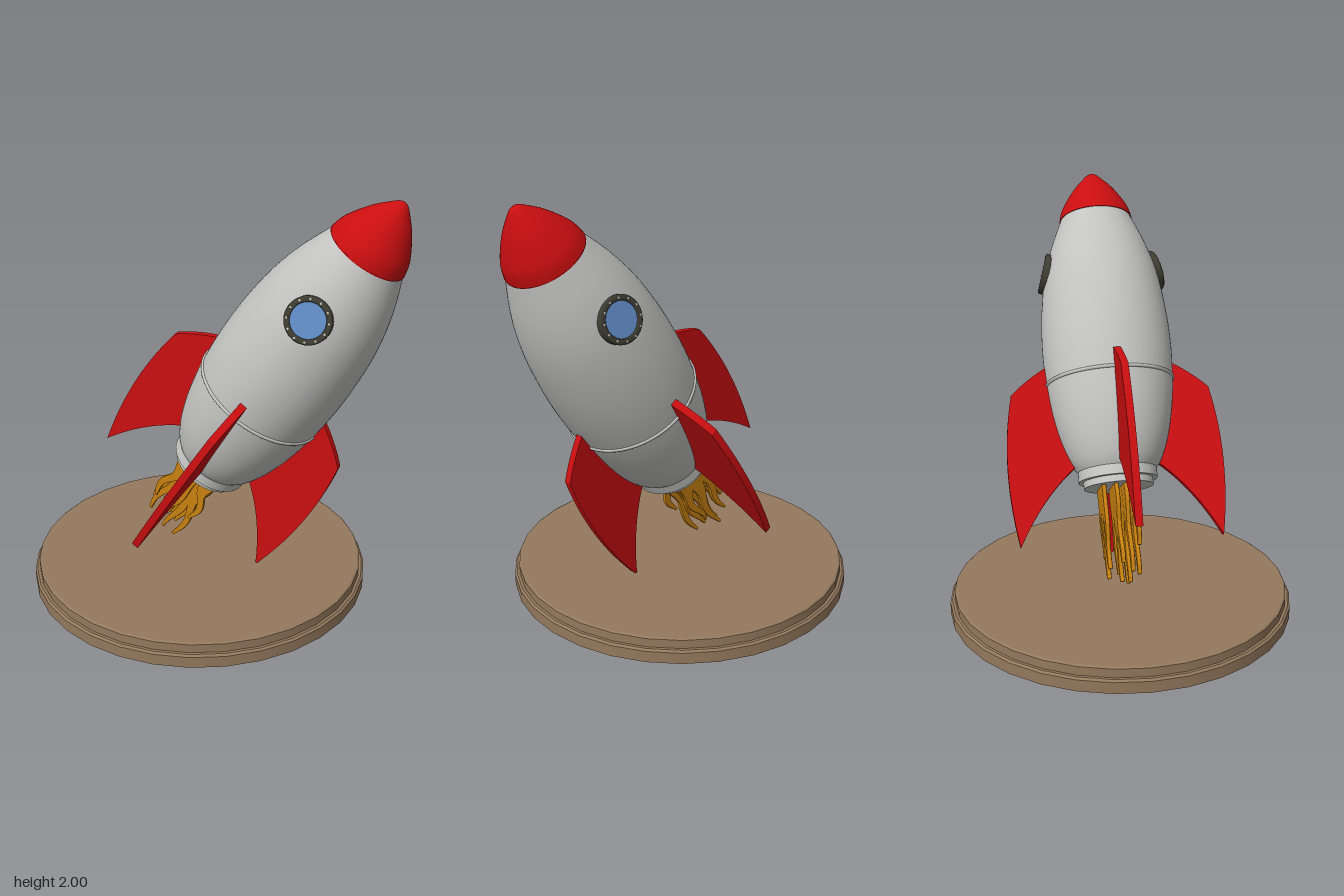
import * as THREE from 'three';

const mat = (name, color) => {
  const m = new THREE.MeshStandardMaterial({ color });
  m.name = name;
  return m;
};

const V2 = (p) => new THREE.Vector2(p[0], p[1]);

// Smooth body of revolution through a few [radius, height] points
function lathe(points, segments = 64, samples = 40) {
  const curve = new THREE.SplineCurve(points.map(V2));
  const profile = curve.getPoints(samples).map((p) => new THREE.Vector2(Math.max(p.x, 0), p.y));
  return new THREE.LatheGeometry(profile, segments);
}

// Wavy tapering tongue of fire, flat in z with rounded edges
function tongue(u0, u1, length, width, phase) {
  const left = [], right = [];
  const n = 20;
  for (let i = 0; i <= n; i++) {
    const s = i / n;
    const u = u0 + (u1 - u0) * s + 0.016 * Math.sin(phase + s * 9) * Math.min(1, s * 2);
    const w = width * Math.pow(1 - s, 0.8) * (0.8 + 0.35 * Math.sin(Math.PI * Math.min(1, s * 2))) + 0.003;
    left.push(new THREE.Vector2(u - w, -0.5 - length * s));
    right.push(new THREE.Vector2(u + w, -0.5 - length * s));
  }
  const shape = new THREE.Shape([...left, ...right.reverse()]);
  const geo = new THREE.ExtrudeGeometry(shape, {
    depth: 0.008, bevelEnabled: true, bevelThickness: 0.007, bevelSize: 0.005, bevelSegments: 2,
  });
  geo.translate(0, 0, -0.004);
  return geo;
}

export function createModel() {
  const grey = mat('hullGrey', 0xc3c3c2);
  const red = mat('red', 0xca0e10);
  const brown = mat('standBrown', 0x94795d);
  const gold = mat('flameGold', 0xc8810f);
  const blue = mat('glassBlue', 0x628dc8);
  const dark = mat('frameDark', 0x3f3e33);
  const silver = mat('boltSilver', 0xc9c9c4);

  const model = new THREE.Group();
  model.name = 'rocketOnStand';
  const add = (parent, name, geo, material) => {
    const mesh = new THREE.Mesh(geo, material);
    mesh.name = name;
    parent.add(mesh);
    return mesh;
  };

  // Two-step round stand
  const stand = new THREE.Group();
  stand.name = 'stand';
  stand.position.x = -0.07;
  model.add(stand);
  const disc = (name, rTop, rBottom, y0, y1) =>
    add(stand, name, new THREE.CylinderGeometry(rTop, rBottom, y1 - y0, 32).translate(0, (y0 + y1) / 2, 0), brown);
  disc('standLower', 0.835, 0.835, 0, 0.055);
  disc('standLowerBevel', 0.825, 0.835, 0.055, 0.064);
  disc('standUpper', 0.812, 0.812, 0.06, 0.106);
  disc('standUpperBevel', 0.803, 0.812, 0.106, 0.112);

  // Tilted rocket, its origin on the axis at the hull band
  const rocket = new THREE.Group();
  rocket.name = 'rocket';
  rocket.position.set(0.255, 1.03, 0);
  rocket.rotation.z = -THREE.MathUtils.degToRad(32.5);
  model.add(rocket);

  add(rocket, 'hull', lathe([
    [0.18, -0.46], [0.222, -0.4], [0.265, -0.29], [0.297, -0.15], [0.315, 0], [0.323, 0.17],
    [0.316, 0.35], [0.292, 0.54], [0.247, 0.71], [0.18, 0.88],
  ]), grey);
  add(rocket, 'hullBand', new THREE.TorusGeometry(0.314, 0.009, 8, 64).rotateX(Math.PI / 2), grey);
  add(rocket, 'noseCone', lathe([
    [0.187, 0.877], [0.168, 0.94], [0.11, 1.035], [0.055, 1.1], [0.025, 1.13], [0, 1.142],
  ]), red);
  add(rocket, 'noseBase', new THREE.CylinderGeometry(0.187, 0.187, 0.004, 64).translate(0, 0.877, 0), red);

  // Nozzle collar
  add(rocket, 'collar', new THREE.CylinderGeometry(0.193, 0.193, 0.05, 48).translate(0, -0.468, 0), grey);
  add(rocket, 'nozzle', new THREE.CylinderGeometry(0.17, 0.17, 0.035, 48).translate(0, -0.508, 0), grey);

  // Four swept fins
  const finShape = new THREE.Shape();
  finShape.moveTo(0.15, 0.12);
  finShape.lineTo(0.3, 0.1);
  finShape.quadraticCurveTo(0.42, 0.03, 0.495, -0.045);
  finShape.quadraticCurveTo(0.57, -0.4, 0.492, -0.79);
  finShape.quadraticCurveTo(0.37, -0.55, 0.2, -0.415);
  finShape.lineTo(0.15, -0.38);
  const finGeo = new THREE.ExtrudeGeometry(finShape, { depth: 0.035, bevelEnabled: false, curveSegments: 14 });
  finGeo.translate(0, 0, -0.0175);
  ['Left', 'Back', 'Right', 'Front'].forEach((side, i) => {
    add(rocket, 'fin' + side, finGeo, red).rotation.y = (i * Math.PI) / 2;
  });

  // Portholes on the front and back of the hull
  const frameGeo = new THREE.LatheGeometry([
    [0.078, -0.04], [0.078, 0.012], [0.082, 0.016], [0.099, 0.016], [0.104, 0.01], [0.104, -0.04],
  ].reverse().map(V2), 40).rotateX(Math.PI / 2);
  const glassGeo = new THREE.CylinderGeometry(0.08, 0.08, 0.008, 40).rotateX(Math.PI / 2);
  const boltGeo = new THREE.CylinderGeometry(0.005, 0.005, 0.006, 8).rotateX(Math.PI / 2);
  dark.side = THREE.DoubleSide;
  ['Front', 'Back'].forEach((side, k) => {
    const pivot = new THREE.Group();
    pivot.name = 'porthole' + side;
    pivot.rotation.y = k * Math.PI;
    rocket.add(pivot);
    const port = new THREE.Group();
    port.position.set(0, 0.59, 0.281);
    port.rotation.x = -0.27;
    pivot.add(port);
    add(port, 'portholeFrame', frameGeo, dark);
    add(port, 'portholeGlass', glassGeo, blue).position.z = 0.004;
    for (let i = 0; i < 12; i++) {
      const a = (i * Math.PI) / 6;
      add(port, 'bolt', boltGeo, silver).position.set(0.091 * Math.cos(a), 0.091 * Math.sin(a), 0.016);
    }
  });

  // Exhaust flames: flat layers of wavy tongues [start, end, length, width, phase]
  const flames = new THREE.Group();
  flames.name = 'flames';
  rocket.add(flames);
  const layers = [
    [-0.085, [[-0.06, -0.08, 0.42, 0.036, 0.5], [0, 0.0, 0.46, 0.036, 1.4], [0.06, 0.06, 0.36, 0.032, 2.6]]],
    [-0.028, [[-0.07, -0.12, 0.4, 0.04, 2.8], [-0.01, -0.045, 0.48, 0.036, 0.2], [0.05, 0.05, 0.44, 0.034, 1.8]]],
    [0.018, [[-0.07, -0.1, 0.44, 0.036, 3.4], [0, 0.02, 0.48, 0.036, 2.2], [0.06, 0.075, 0.48, 0.034, 0.8]]],
    [0.058, [[-0.07, -0.125, 0.32, 0.036, 4.2], [-0.01, -0.03, 0.45, 0.034, 3], [0.06, 0.1, 0.3, 0.034, 1.2]]],
  ];
  layers.forEach(([z, tongues]) => tongues.forEach((t) => {
    add(flames, 'flameTongue', tongue(...t), gold).position.z = z;
  }));

  return model;
}
